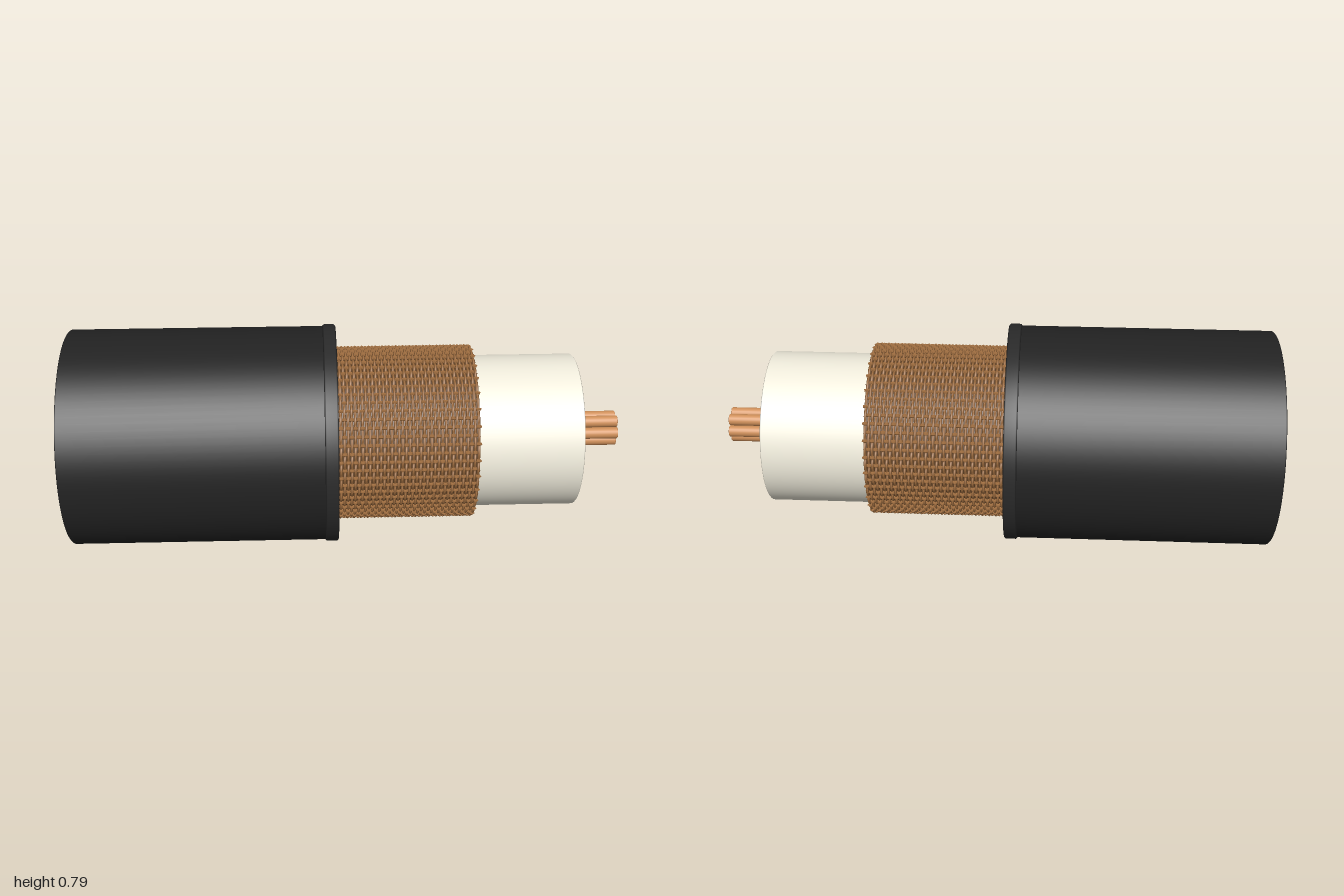
import * as THREE from 'three';
import { mergeGeometries } from 'three/addons/utils/BufferGeometryUtils.js';

const JACKET = 0x222222, LIP = 0x2a2a2a, INSULATION = 0xf0ecdc, COPPER = 0xd0905a, BRAID = 0xa87444, UNDER = 0x54381f;

const material = (color, side = THREE.FrontSide) => new THREE.MeshStandardMaterial({ color, side });

function addMesh(parent, name, geometry, mat) {
  const mesh = new THREE.Mesh(geometry, mat);
  mesh.name = name;
  parent.add(mesh);
  return mesh;
}

// Solid round bar along x with small softened edges
function bar(x0, x1, r, bevel, sides) {
  const profile = [[0, x0], [r - bevel, x0], [r, x0 + bevel], [r, x1 - bevel], [r - bevel, x1], [0, x1]];
  return new THREE.LatheGeometry(profile.map(p => new THREE.Vector2(...p)), sides).rotateZ(-Math.PI / 2);
}

// Wire path given by a rule, sampled evenly in its parameter
class WirePath extends THREE.Curve {
  constructor(rule) { super(); this.rule = rule; }
  getPoint(t, target = new THREE.Vector3()) { return target.set(...this.rule(t)); }
  getUtoTmapping(u) { return u; }
}

// Woven sleeve: wavy hoops passing over and under wavy lengthwise wires
function braidGeometry(x0, x1, radius, hoops, wires) {
  const wave = 0.0045, thick = 0.005, parts = [];
  const step = (x1 - x0) / hoops;
  for (let j = 0; j < hoops; j++) {
    const path = new WirePath(t => {
      const a = t * Math.PI * 2;
      const r = radius + wave * Math.cos(a * wires / 2 + j * Math.PI);
      return [x0 + (j + 0.5) * step, r * Math.cos(a), r * Math.sin(a)];
    });
    parts.push(new THREE.TubeGeometry(path, wires * 2, thick, 4, true));
  }
  for (let k = 0; k < wires; k++) {
    const a = k / wires * Math.PI * 2;
    const path = new WirePath(t => {
      const r = radius - wave * Math.cos((t * hoops - 0.5 + k) * Math.PI);
      return [x0 + t * (x1 - x0), r * Math.cos(a), r * Math.sin(a)];
    });
    parts.push(new THREE.TubeGeometry(path, hoops * 2, thick * 1.3, 4, false));
  }
  return mergeGeometries(parts);
}

export function createModel() {
  const model = new THREE.Group();
  model.name = 'strippedCable';
  const cable = new THREE.Group();
  cable.name = 'cable';
  cable.position.set(0, 0.397, 0.018);
  cable.rotation.y = -0.042;
  model.add(cable);

  // Outer jacket and the lip at its cut end
  addMesh(cable, 'outerJacket', bar(-0.984, -0.05, 0.39, 0.004, 96), material(JACKET));
  addMesh(cable, 'jacketLip', bar(-0.077, -0.03, 0.396, 0.005, 96), material(LIP));

  // Copper braid with a thin dark backing
  addMesh(cable, 'braidedShield', braidGeometry(-0.04, 0.46, 0.306, 40, 64), material(BRAID));
  const backing = new THREE.CylinderGeometry(0.303, 0.303, 0.495, 64, 1, true).rotateZ(-Math.PI / 2);
  addMesh(cable, 'shieldBacking', backing, material(UNDER, THREE.DoubleSide)).position.x = 0.21;

  // Inner insulation
  addMesh(cable, 'insulation', bar(-0.04, 0.83, 0.276, 0.003, 96), material(INSULATION));

  // Seven strands: one in the middle and six around it
  const conductor = new THREE.Group();
  conductor.name = 'conductor';
  cable.add(conductor);
  const strand = bar(0.8, 0.997, 0.021, 0.002, 24);
  const copper = material(COPPER);
  addMesh(conductor, 'centreStrand', strand, copper);
  for (let i = 0; i < 6; i++) {
    const a = i * Math.PI / 3 + 0.1;
    addMesh(conductor, 'outerStrand', strand, copper).position.set(0, 0.042 * Math.sin(a), 0.042 * Math.cos(a));
  }
  return model;
}
